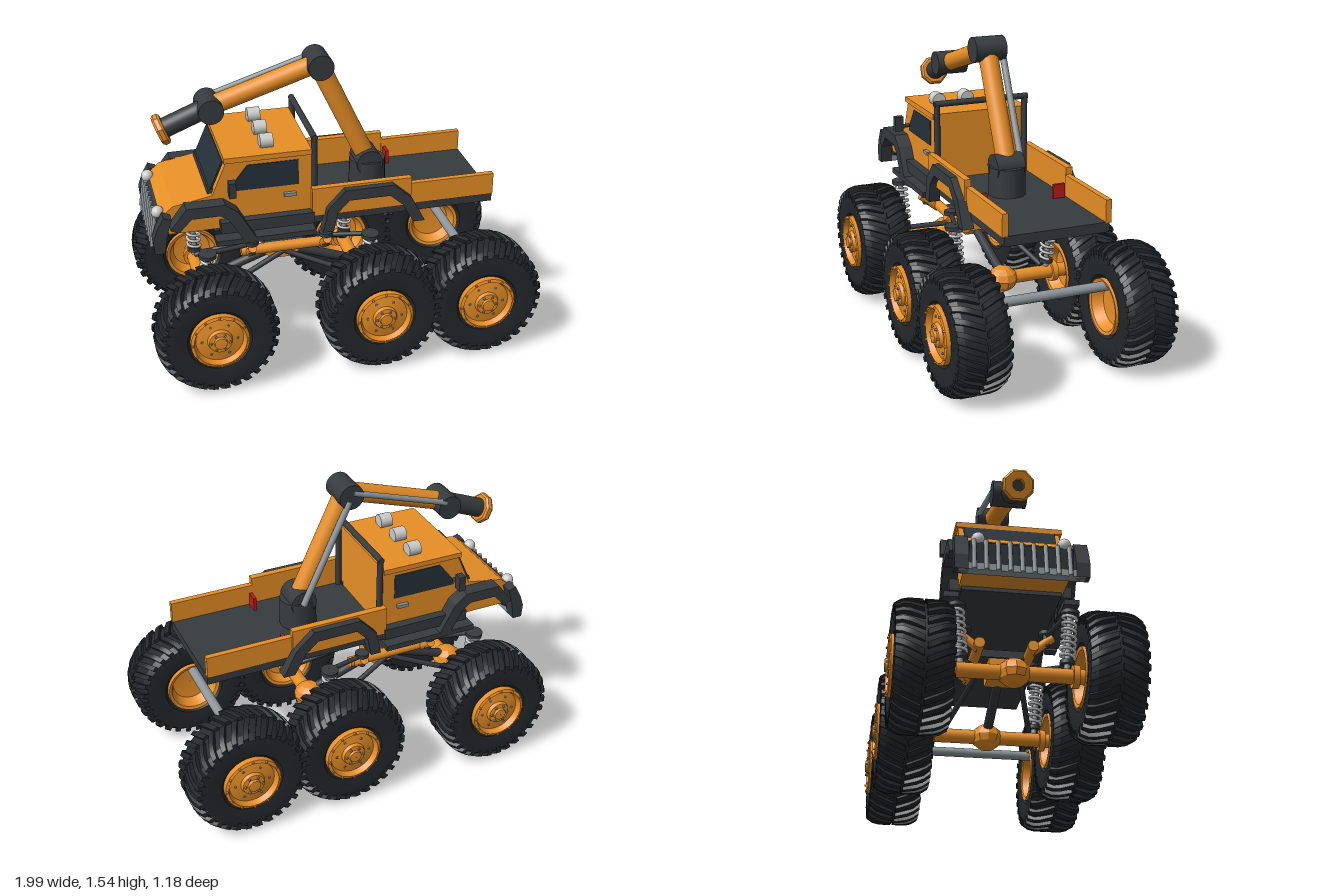
import * as THREE from 'three';
import { mergeGeometries, toCreasedNormals } from 'three/addons/utils/BufferGeometryUtils.js';

const paint = (color, extra = {}) => new THREE.MeshStandardMaterial({ color, ...extra });
const orange = paint(0xe88f26), dark = paint(0x363b3e), rubber = paint(0x24282b), grey = paint(0x8d969b);
const white = paint(0xe4e4e4), red = paint(0xc01a1a), glass = paint(0x25313a);
const facetOrange = paint(0xe88f26, { flatShading: true });
const SIDES = [1, -1];
const V = (x, y, z) => new THREE.Vector3(x, y, z);

function add(parent, name, geo, mat, x = 0, y = 0, z = 0) {
  const m = new THREE.Mesh(geo, mat);
  m.name = name;
  m.position.set(x, y, z);
  parent.add(m);
  return m;
}

// Box given by its minimum and maximum on each axis
function box(parent, name, mat, x0, x1, y0, y1, z0, z1) {
  return add(parent, name, new THREE.BoxGeometry(Math.abs(x1 - x0), Math.abs(y1 - y0), Math.abs(z1 - z0)), mat,
    (x0 + x1) / 2, (y0 + y1) / 2, (z0 + z1) / 2);
}

// Cylinder between two points
function rod(parent, name, mat, a, b, r, r2 = r, sides = 20) {
  const m = add(parent, name, new THREE.CylinderGeometry(r2, r, a.distanceTo(b), sides), mat);
  m.position.copy(a).add(b).multiplyScalar(0.5);
  m.quaternion.setFromUnitVectors(V(0, 1, 0), b.clone().sub(a).normalize());
  return m;
}

// Side profile extruded across z0..z1
function slab(parent, name, mat, pts, z0, z1) {
  const shape = new THREE.Shape(pts.map(p => new THREE.Vector2(...p)));
  return add(parent, name, new THREE.ExtrudeGeometry(shape, { depth: z1 - z0, bevelEnabled: false }), mat, 0, 0, z0);
}

function lathe(pts, sides = 40, crease = 0.5) {
  const g = new THREE.LatheGeometry(pts.map(p => new THREE.Vector2(...p)), sides);
  return toCreasedNormals(g.rotateX(Math.PI / 2), crease);
}

// Tread lugs: bent bars slanting from the middle of the tyre to each shoulder
function treadGeometry() {
  const lugs = [], count = 30;
  for (const s of SIDES) for (let i = 0; i < count; i++) {
    const g = new THREE.BoxGeometry(0.028, 0.04, 0.128, 1, 1, 4);
    const p = g.attributes.position;
    for (let k = 0; k < p.count; k++) {
      const z = p.getZ(k) + s * 0.07, w = Math.abs(z);
      const a = (i + (s > 0 ? 0 : 0.5)) / count * Math.PI * 2 + p.getX(k) / 0.3 + w * 1.5;
      const r = 0.29 + p.getY(k) - Math.max(0, w - 0.09) * 0.6;
      p.setXYZ(k, Math.cos(a) * r, Math.sin(a) * r, z);
    }
    lugs.push(g);
  }
  // The bend mirrors the handedness of the boxes, so flip their faces
  const tread = mergeGeometries(lugs), idx = tread.index.array;
  for (let i = 0; i < idx.length; i += 3) [idx[i], idx[i + 1]] = [idx[i + 1], idx[i]];
  return toCreasedNormals(tread, 0.4);
}

function buildWheels(root) {
  const tyre = lathe([[0.135, -0.1], [0.16, -0.125], [0.22, -0.135], [0.262, -0.13], [0.285, -0.1], [0.292, 0],
    [0.285, 0.1], [0.262, 0.13], [0.22, 0.135], [0.16, 0.125], [0.135, 0.1], [0.135, -0.1]], 48);
  const tread = treadGeometry();
  const rim = lathe([[0.001, -0.06], [0.1, -0.07], [0.125, -0.125], [0.142, -0.13], [0.145, -0.1], [0.14, 0],
    [0.145, 0.1], [0.145, 0.14], [0.13, 0.145], [0.118, 0.115], [0.062, 0.125], [0.056, 0.143],
    [0.033, 0.145], [0.03, 0.158], [0.001, 0.16]], 32, 0.4);
  const bolt = new THREE.CylinderGeometry(0.006, 0.006, 0.014, 6).rotateX(Math.PI / 2);
  const ring = (n, r, z) => Array.from({ length: n }, (_, i) =>
    bolt.clone().translate(Math.cos(i * 2 * Math.PI / n) * r, Math.sin(i * 2 * Math.PI / n) * r, z));
  const lipBolts = mergeGeometries(ring(12, 0.137, 0.144));
  const hubBolts = mergeGeometries([...ring(6, 0.045, 0.146), ...ring(6, 0.088, 0.12)]);
  for (const x of [-0.69, 0.145, 0.685]) for (const s of SIDES) {
    const w = new THREE.Group();
    w.name = 'wheel';
    w.position.set(x, 0.31, s * 0.43);
    if (s < 0) w.rotation.y = Math.PI;
    add(w, 'tyre', tyre, rubber);
    add(w, 'tread', tread, rubber);
    add(w, 'rim', rim, orange);
    add(w, 'lipBolts', lipBolts, orange);
    add(w, 'hubBolts', hubBolts, grey);
    root.add(w);
  }
}

class Helix extends THREE.Curve {
  getPoint(t) {
    const a = t * 7 * Math.PI * 2;
    return V(Math.cos(a) * 0.034, t * 0.23, Math.sin(a) * 0.034);
  }
}

function buildChassis(root) {
  const g = new THREE.Group();
  g.name = 'chassis';
  root.add(g);
  const spring = new THREE.TubeGeometry(new Helix(), 130, 0.008, 6);
  for (const x of [-0.69, 0.145]) {
    rod(g, 'axle', orange, V(x, 0.31, -0.36), V(x, 0.31, 0.36), 0.036);
    add(g, 'differential', new THREE.SphereGeometry(0.08, 10, 6), facetOrange, x, 0.31, 0).scale.y = 0.85;
    rod(g, 'driveShaft', dark, V(-0.27, 0.48, 0), V(x, 0.33, 0), 0.024);
    for (const s of SIDES) {
      const shock = new THREE.Group();
      shock.name = 'shock';
      shock.position.set(x, 0.39, s * 0.25);
      shock.rotation.x = s * 0.08;
      add(shock, 'spring', spring, white);
      rod(shock, 'damper', grey, V(0, -0.06, 0), V(0, 0.24, 0), 0.015);
      rod(shock, 'lowerSeat', dark, V(0, -0.025, 0), V(0, -0.005, 0), 0.035);
      rod(shock, 'upperSeat', dark, V(0, 0.23, 0), V(0, 0.25, 0), 0.045);
      g.add(shock);
      rod(g, 'axleFlange', orange, V(x, 0.31, s * 0.27), V(x, 0.31, s * 0.3), 0.055);
      const inner = x < -0.2 ? -0.455 : -0.07;
      rod(g, 'towerArm', orange, V(inner, 0.53, s * 0.13), V(inner, 0.61, s * 0.23), 0.022);
      rod(g, 'towerStud', dark, V(inner, 0.56, s * 0.2), V(inner, 0.63, s * 0.2), 0.018);
      rod(g, 'towerCap', dark, V(inner, 0.62, s * 0.2), V(inner, 0.64, s * 0.2), 0.036);
      rod(g, 'towerLink', dark, V(inner, 0.62, s * 0.2), V(x, 0.63, s * 0.26), 0.012);
      rod(g, 'trailingLink', dark, V(-0.27, 0.5, s * 0.1), V(x, 0.35, s * 0.22), 0.014);
    }
  }
  for (const s of SIDES) rod(g, 'frameRail', orange, V(-0.5, 0.545, s * 0.13), V(-0.03, 0.545, s * 0.13), 0.027);
  box(g, 'crossPlate', dark, -0.37, -0.17, 0.53, 0.57, -0.12, 0.12);
  slab(g, 'gearbox', orange, [[-0.36, 0.53], [-0.36, 0.47], [-0.33, 0.44], [-0.21, 0.44], [-0.18, 0.47], [-0.18, 0.53]], -0.065, 0.065);
  rod(g, 'rearAxleTube', grey, V(0.685, 0.42, -0.36), V(0.685, 0.42, 0.36), 0.025);
}

function buildCab(root) {
  const g = new THREE.Group();
  g.name = 'cab';
  root.add(g);
  slab(g, 'cabBody', orange, [[-0.87, 0.76], [-0.155, 0.76], [-0.155, 1.12], [-0.575, 1.12], [-0.65, 0.945],
    [-0.845, 0.91], [-0.905, 0.86]], -0.25, 0.25);
  box(g, 'roof', orange, -0.59, -0.155, 1.113, 1.14, -0.262, 0.262);
  slab(g, 'windshield', glass, [[-0.648, 0.965], [-0.585, 1.112], [-0.593, 1.112], [-0.658, 0.965]], -0.225, 0.225);
  slab(g, 'cowl', dark, [[-0.67, 0.943], [-0.64, 0.95], [-0.64, 0.97], [-0.665, 0.965]], -0.225, 0.225);
  for (const z of [-0.16, 0, 0.16]) rod(g, 'roofLamp', white, V(-0.395, 1.167, z), V(-0.33, 1.167, z), 0.037);
  // Grille, bumper and corner guards
  slab(g, 'grilleBack', dark, [[-0.87, 0.74], [-0.905, 0.72], [-0.93, 0.84], [-0.9, 0.86]], -0.24, 0.24);
  for (let i = 0; i < 9; i++) rod(g, 'grilleSlat', grey, V(-0.955, 0.69, -0.22 + i * 0.055), V(-0.93, 0.85, -0.22 + i * 0.055), 0.011, 0.011, 8);
  box(g, 'bumper', grey, -0.95, -0.9, 0.69, 0.725, -0.29, 0.29);
  for (const s of SIDES) {
    const z = (a, b) => s > 0 ? [a, b] : [-b, -a];
    add(g, 'headlamp', new THREE.SphereGeometry(0.032, 16, 10), white, -0.915, 0.865, s * 0.2);
    slab(g, 'cornerGuard', dark, [[-0.95, 0.69], [-0.9, 0.69], [-0.885, 0.79], [-0.86, 0.87], [-0.9, 0.885], [-0.935, 0.82], [-0.955, 0.76]], ...z(0.245, 0.31));
    slab(g, 'sideWindow', glass, [[-0.56, 0.957], [-0.22, 0.957], [-0.22, 1.09], [-0.475, 1.09], [-0.545, 1.0]], ...z(0.24, 0.254));
    box(g, 'doorHandle', grey, -0.295, -0.235, 0.9, 0.918, ...z(0.25, 0.268));
    rod(g, 'mirrorStem', dark, V(-0.56, 0.985, s * 0.24), V(-0.56, 0.985, s * 0.31), 0.01);
    box(g, 'mirror', dark, -0.58, -0.545, 0.96, 1.04, ...z(0.29, 0.335));
    box(g, 'sill', dark, -0.62, -0.15, 0.75, 0.81, ...z(0.22, 0.295));
    box(g, 'runningBoard', dark, -0.65, -0.15, 0.7, 0.728, ...z(0.25, 0.325));
    rod(g, 'hoopPost', dark, V(-0.14, 0.78, s * 0.245), V(-0.14, 1.2, s * 0.245), 0.016);
    // Wheel arches
    slab(g, 'frontArch', dark, [[-0.87, 0.82], [-0.79, 0.925], [-0.6, 0.925], [-0.535, 0.875], [-0.44, 0.705], [-0.505, 0.705],
      [-0.585, 0.84], [-0.625, 0.868], [-0.765, 0.868], [-0.83, 0.8]], ...z(0.245, 0.325));
    slab(g, 'rearArch', dark, [[-0.115, 0.705], [-0.09, 0.83], [0, 0.925], [0.25, 0.925], [0.345, 0.84], [0.415, 0.705],
      [0.355, 0.705], [0.295, 0.81], [0.23, 0.868], [0.02, 0.868], [-0.04, 0.805], [-0.06, 0.705]], ...z(0.265, 0.325));
  }
  rod(g, 'hoopTop', dark, V(-0.14, 1.197, -0.26), V(-0.14, 1.197, 0.26), 0.016);
}

function buildBed(root) {
  const g = new THREE.Group();
  g.name = 'bed';
  root.add(g);
  box(g, 'bedFloor', dark, -0.155, 0.79, 0.74, 0.79, -0.27, 0.27);
  box(g, 'underCab', dark, -0.65, -0.155, 0.74, 0.762, -0.24, 0.24);
  for (const s of SIDES) {
    box(g, 'frontBedWall', orange, -0.16, 0.35, 0.785, 0.937, s * 0.255, s * 0.29);
    box(g, 'rearBedWall', orange, 0.35, 0.79, 0.785, 0.9, s * 0.25, s * 0.28);
    box(g, 'tailLamp', red, 0.355, 0.372, 0.79, 0.862, s * 0.178, s * 0.24);
  }
}

function buildCrane(root) {
  const g = new THREE.Group();
  g.name = 'crane';
  root.add(g);
  const base = V(0.19, 0.95, 0), elbow = V(-0.06, 1.48, 0), wrist = V(-0.61, 1.305, 0), tip = V(-0.835, 1.215, 0);
  rod(g, 'turret', dark, V(0.2, 0.78, 0), V(0.2, 0.935, 0), 0.095, 0.092, 24);
  rod(g, 'shoulder', dark, V(0.195, 0.93, -0.075), V(0.195, 0.93, 0.075), 0.068, 0.068, 28);
  rod(g, 'lowerBoom', orange, base, elbow, 0.05, 0.05, 28);
  rod(g, 'elbowJoint', dark, V(-0.06, 1.48, -0.085), V(-0.06, 1.48, 0.08), 0.065, 0.065, 32);
  rod(g, 'upperBoom', orange, elbow, wrist, 0.048, 0.048, 28);
  rod(g, 'wristJoint', dark, V(-0.61, 1.305, -0.09), V(-0.61, 1.305, 0.08), 0.063, 0.063, 32);
  rod(g, 'toolArm', dark, wrist, tip, 0.05, 0.05, 28);
  const dir = tip.clone().sub(wrist).normalize();
  // Octagonal collar with a bore at the end of the tool arm
  const collar = add(g, 'collar', lathe([[0.03, -0.02], [0.07, -0.02], [0.08, -0.01], [0.08, 0.01], [0.07, 0.022], [0.03, 0.022], [0.03, -0.02]], 8, 0.3), orange);
  collar.position.copy(tip).addScaledVector(dir, 0.015);
  collar.quaternion.setFromUnitVectors(V(0, 0, 1), dir);
  // Hydraulic rams along one side
  rod(g, 'lowerRam', grey, V(0.2, 0.93, -0.08), V(-0.05, 1.46, -0.08), 0.017);
  rod(g, 'upperRam', grey, V(-0.07, 1.5, -0.078), V(-0.59, 1.335, -0.078), 0.015);
}

export function createModel() {
  const root = new THREE.Group();
  root.name = 'craneTruck';
  buildWheels(root);
  buildChassis(root);
  buildCab(root);
  buildBed(root);
  buildCrane(root);
  return root;
}
